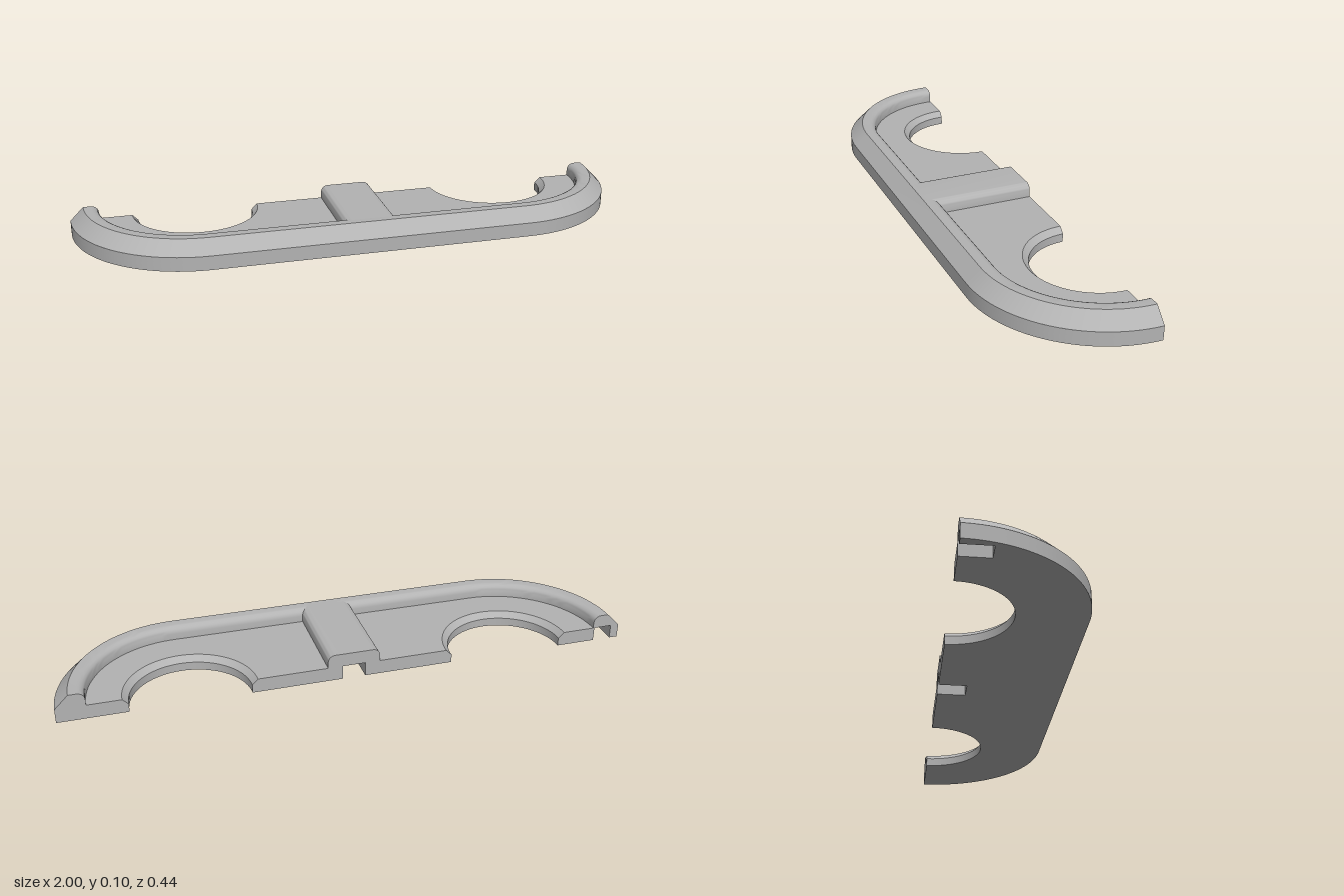
import * as THREE from 'three';
import { toCreasedNormals } from 'three/addons/utils/BufferGeometryUtils.js';

const R = 0.44, CX = 0.56, BACK = -0.22;   // corner radius, corner centre, back plane
const FLOOR = 0.05, TOP = 0.097;           // tray floor and rim heights
const HOLE = 0.205, HOLE_TOP = 0.225;      // cut-out radius and its chamfered radius
const SLOT = 0.1;                          // slot depth

// Sweep a closed convex profile of [radius, y] around stations of [centreX, angle]
function sweep(profile, stations) {
  const rings = stations.map(([cx, a]) => profile.map(([r, y]) =>
    [cx + r * Math.cos(a), y, BACK + r * Math.sin(a)]));
  const pos = [], n = profile.length;
  const tri = (...p) => p.forEach((v) => pos.push(...v));
  for (let i = 0; i < rings.length - 1; i++) {
    for (let j = 0; j < n; j++) {
      const k = (j + 1) % n, p = rings[i], q = rings[i + 1];
      tri(p[j], p[k], q[j]);
      tri(p[k], q[k], q[j]);
    }
  }
  const first = rings[0], last = rings[rings.length - 1];
  for (let k = 1; k < n - 1; k++) {
    tri(first[0], first[k + 1], first[k]);
    tri(last[0], last[k], last[k + 1]);
  }
  const g = new THREE.BufferGeometry();
  g.setAttribute('position', new THREE.Float32BufferAttribute(pos, 3));
  return toCreasedNormals(g, 0.5);
}

function arc(cx, from, to, steps = 24) {
  return Array.from({ length: steps + 1 }, (_, i) => [cx, from + (to - from) * i / steps]);
}

// One layer of the base: rounded outline, two half-round cut-outs, two slots
function baseLayer(holeRadius, bottom, top) {
  const s = new THREE.Shape();
  const slot = (x0, x1) => {
    s.lineTo(x0, BACK);
    s.lineTo(x0, BACK + SLOT);
    s.lineTo(x1, BACK + SLOT);
    s.lineTo(x1, BACK);
  };
  s.moveTo(CX + R, BACK);
  s.absarc(CX, BACK, R, 0, Math.PI / 2, false);
  s.absarc(-CX, BACK, R, Math.PI / 2, Math.PI, false);
  slot(-0.97, -0.905);
  s.absarc(-CX, BACK, holeRadius, Math.PI, 0, true);
  slot(-0.04, 0.04);
  s.absarc(CX, BACK, holeRadius, Math.PI, 0, true);
  const g = new THREE.ExtrudeGeometry(s, { depth: top - bottom, bevelEnabled: false, curveSegments: 24 });
  g.rotateX(Math.PI / 2).translate(0, top, 0);
  return toCreasedNormals(g, 0.5);
}

export function createModel() {
  const group = new THREE.Group();
  const grey = new THREE.MeshStandardMaterial({ color: 0xb3b3b3 });
  grey.name = 'grey';
  const add = (name, geometry) => {
    const mesh = new THREE.Mesh(geometry, grey);
    mesh.name = name;
    group.add(mesh);
  };

  // Flat base in two layers, the upper one set back for the chamfers
  add('baseLower', baseLayer(HOLE, 0, 0.03));
  add('baseUpper', baseLayer(HOLE_TOP, 0.03, FLOOR));
  for (const side of [-1, 1]) {
    add(side > 0 ? 'leftCutoutChamfer' : 'rightCutoutChamfer',
      sweep([[HOLE_TOP, 0.03], [HOLE_TOP, FLOOR], [HOLE, 0.03]], arc(side * CX, 0, Math.PI, 48)));
  }

  // Raised rim: chamfered outside, rounded inside
  const profile = [[R, FLOOR], [R - 0.047, TOP]];
  const f = 0.025, inner = R - 0.1;
  for (let i = 0; i <= 5; i++) {
    const a = (i / 5) * Math.PI / 2;
    profile.push([inner + f - f * Math.sin(a), TOP - f + f * Math.cos(a)]);
  }
  profile.push([inner, FLOOR]);
  add('rim', sweep(profile, [...arc(CX, 0, Math.PI / 2), ...arc(-CX, Math.PI / 2, Math.PI)]));

  // Middle bridge with rounded top edges, running into the rim
  const w = 0.092, b = new THREE.Shape();
  b.moveTo(-w, FLOOR);
  b.lineTo(w, FLOOR);
  b.absarc(w - f, TOP - f, f, 0, Math.PI / 2, false);
  b.absarc(-w + f, TOP - f, f, Math.PI / 2, Math.PI, false);
  const bridge = new THREE.ExtrudeGeometry(b, { depth: 0.38, bevelEnabled: false, curveSegments: 6 });
  bridge.translate(0, 0, BACK);
  add('bridge', toCreasedNormals(bridge, 0.5));

  return group;
}
